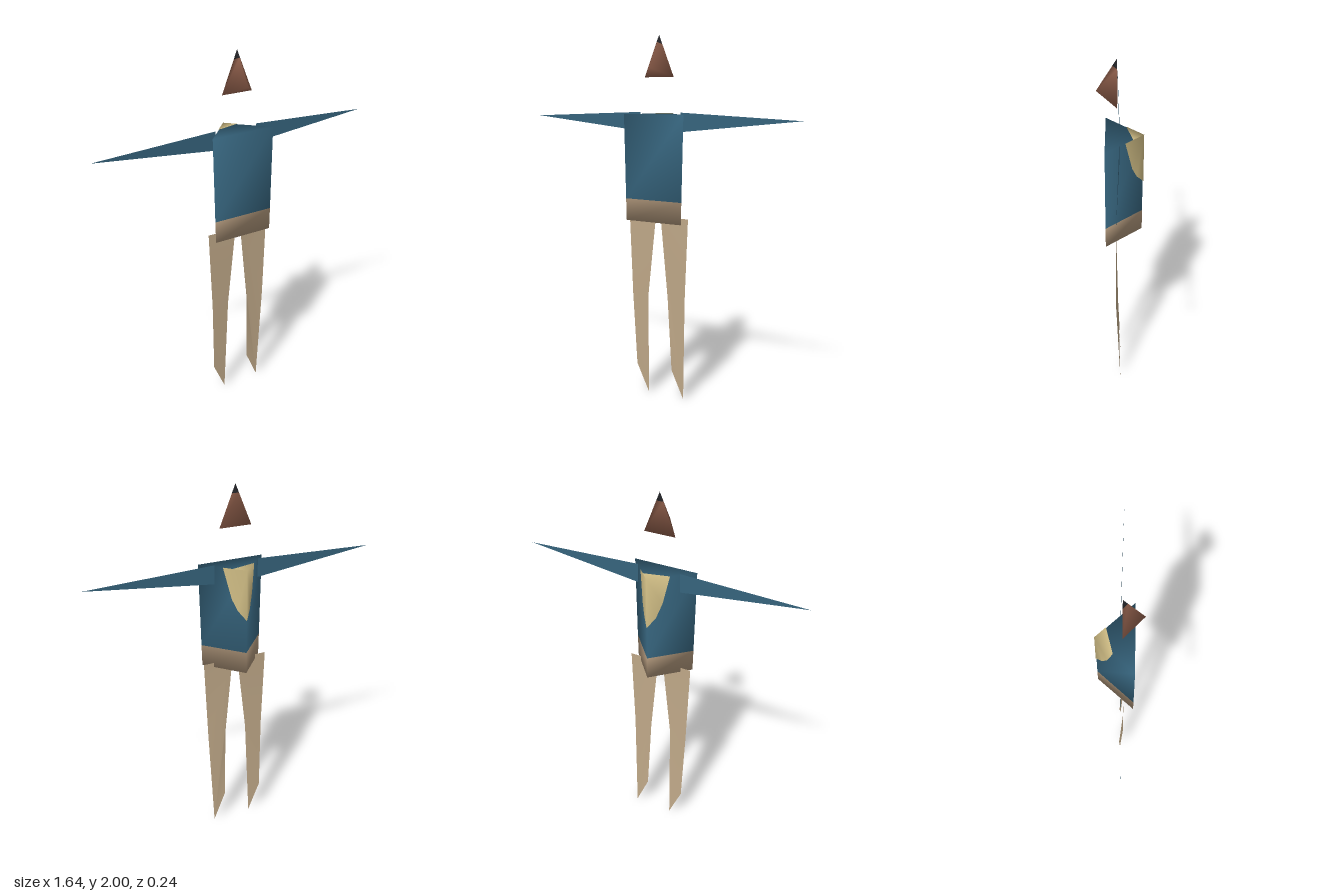
import * as THREE from 'three';

const mat = (name, color, side = THREE.FrontSide) => {
  const m = new THREE.MeshStandardMaterial({ color, side });
  m.name = name;
  return m;
};

// Smooth three-sided solid from rings (counter-clockwise from above, bottom first), one material per band
function triSolid(name, rings, materials) {
  const geo = new THREE.BufferGeometry();
  geo.setAttribute('position', new THREE.Float32BufferAttribute(rings.flat(2), 3));
  const index = [2, 1, 0];
  let start = 0;
  materials.forEach((m, k) => {
    for (let i = 0; i < 3; i++) {
      const a = k * 3 + i, b = k * 3 + (i + 1) % 3;
      index.push(a, b, b + 3, a, b + 3, a + 3);
    }
    if (k === materials.length - 1) {
      const t = (k + 1) * 3;
      index.push(t, t + 1, t + 2);
    }
    geo.addGroup(start, index.length - start, k);
    start = index.length;
  });
  geo.setIndex(index);
  geo.computeVertexNormals();
  const mesh = new THREE.Mesh(geo, materials);
  mesh.name = name;
  return mesh;
}

// Flat panel from an outline, with depth given by a rule
function panel(name, outline, material, depth) {
  const shape = new THREE.Shape(outline.map(([x, y]) => new THREE.Vector2(x, y)));
  const geo = new THREE.ShapeGeometry(shape);
  const p = geo.attributes.position;
  for (let i = 0; i < p.count; i++) p.setZ(i, depth(p.getX(i), p.getY(i)));
  geo.computeVertexNormals();
  const mesh = new THREE.Mesh(geo, material);
  mesh.name = name;
  return mesh;
}

export function createModel() {
  const model = new THREE.Group();
  model.name = 'figure';
  const skin = mat('brown skin', 0x8a5b48);
  const hair = mat('black hair', 0x25262a);
  const blue = mat('blue shirt', 0x36647d);
  const sleeve = mat('blue sleeve', 0x36647d, THREE.DoubleSide);
  const band = mat('tan waist', 0xb79d80);
  const trousers = mat('beige trousers', 0xbfa888, THREE.DoubleSide);
  const yellow = mat('yellow patch', 0xd0bd85);

  // Head: leaning pyramid with a dark tip
  const apex = [0, 2, 0.015];
  const base = [[0, 1.83, 0.12], [0.09, 1.78, 0.015], [-0.09, 1.78, 0.015]];
  const headRing = t => base.map(p => p.map((v, i) => v + (apex[i] - v) * t));
  model.add(triSolid('head', [headRing(0), headRing(0.78), headRing(1)], [skin, hair]));

  // Torso: triangular prism with a tan waist
  const torsoRing = (y, w) => [[-w, y, 0.077], [w, y, 0.077], [0, y, -0.117]];
  model.add(triSolid('torso',
    [torsoRing(1.005, 0.172), torsoRing(1.125, 0.175), torsoRing(1.585, 0.185)], [band, blue]));

  // Patch wrapped over the back ridge and onto the shoulder
  const patchGeo = new THREE.BufferGeometry();
  patchGeo.setAttribute('position', new THREE.Float32BufferAttribute([
    0, 1.587, -0.121,
    0.091, 1.587, -0.025, 0.058, 1.42, -0.061, 0.035, 1.36, -0.085,
    0, 1.31, -0.121,
    -0.035, 1.36, -0.085, -0.06, 1.44, -0.059, -0.086, 1.587, -0.03,
    0.053, 1.587, -0.065,
  ], 3));
  patchGeo.setIndex([0, 1, 2, 0, 2, 3, 0, 3, 4, 0, 4, 5, 0, 5, 6, 0, 6, 7, 0, 7, 8]);
  patchGeo.computeVertexNormals();
  const patch = new THREE.Mesh(patchGeo, yellow);
  patch.name = 'backPatch';
  model.add(patch);

  // Arms: flat tapering blades
  for (const [s, side] of [[1, 'left'], [-1, 'right']]) {
    model.add(panel(side + 'Arm',
      [[s * 0.125, 1.595], [s * 0.125, 1.492], [s * 0.82, 1.565]], sleeve,
      x => 0.005 + 0.013 * Math.max(0, (Math.abs(x) - 0.125) / 0.695)));
  }

  // Legs: flat panels, both feet pointing to the same side
  const legDepth = (x, y) => 0.024 * Math.min(1, y / 0.57);
  model.add(panel('leftLeg', [[0.186, 1.03], [0.015, 1.03], [0.06, 0.58], [0.076, 0.16],
    [0.148, 0], [0.168, 0.58]], trousers, legDepth));
  model.add(panel('rightLeg', [[-0.186, 1.03], [-0.015, 1.03], [-0.065, 0.58], [-0.078, 0],
    [-0.152, 0.16], [-0.167, 0.58]], trousers, legDepth));
  return model;
}
